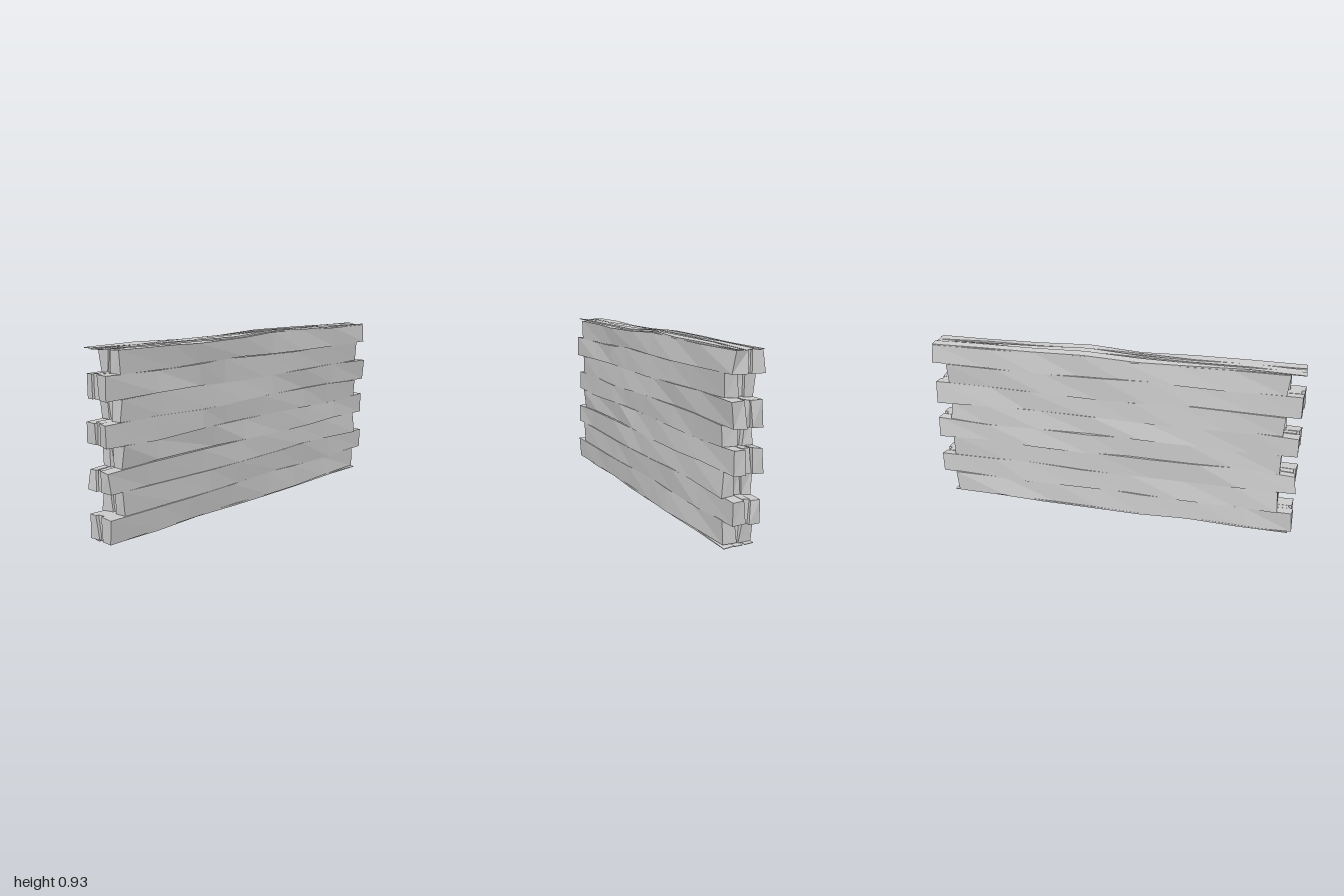
import * as THREE from 'three';

// seeded jitter in -1..1
let seed = 7;
const jit = (a) => {
  seed = (seed * 16807) % 2147483647;
  return (seed / 2147483647 * 2 - 1) * a;
};

// heights of the seams between courses, each with its own gentle waviness
const SEAMS = [0.033, 0.148, 0.262, 0.375, 0.483, 0.588, 0.7, 0.815, 0.922];
const seamY = (i, z) => {
  const wave = 0.005 * Math.sin(z * 5.2 + i * 1.9) + 0.003 * Math.sin(z * 9 + i * 2.7);
  const dip = i === 0 ? -0.012 * Math.exp(-(((z - 0.27) / 0.15) ** 2)) : 0;
  return SEAMS[i] + wave + dip;
};

// closed loft: rings of four corners, counter-clockwise seen from +z, running towards +z
function loft(rings) {
  const pos = [];
  const quad = (a, b, c, d) => pos.push(...a, ...b, ...c, ...a, ...c, ...d);
  for (let k = 0; k < rings.length - 1; k++) {
    for (let j = 0; j < 4; j++) {
      const n = (j + 1) % 4;
      quad(rings[k][j], rings[k][n], rings[k + 1][n], rings[k + 1][j]);
    }
  }
  const first = rings[0], last = rings[rings.length - 1];
  quad(last[0], last[1], last[2], last[3]);
  quad(first[3], first[2], first[1], first[0]);
  const geo = new THREE.BufferGeometry();
  geo.setAttribute('position', new THREE.Float32BufferAttribute(pos, 3));
  geo.computeVertexNormals();
  return geo;
}

// rough-hewn plank of one course between two x positions
function plank(row, xl, xr, z0, z1, rough) {
  const n = 7, rings = [];
  for (let k = 0; k <= n; k++) {
    const end = k === 0 || k === n;
    const z = z0 + (z1 - z0) * k / n + (end ? 0 : jit(0.06));
    const a = end ? rough * 1.25 : rough;
    const lo = seamY(row, z), hi = seamY(row + 1, z);
    const corner = (x, y) => [x + jit(a), y + jit(0.003), z + (end ? jit(0.008) : 0)];
    rings.push([corner(xl, lo), corner(xr, lo), corner(xr, hi), corner(xl, hi)]);
  }
  return loft(rings);
}

export function createModel() {
  const wall = new THREE.Group();
  wall.name = 'plankWall';
  const material = new THREE.MeshStandardMaterial({ color: 0xcccccc, flatShading: true });
  const add = (name, geo) => {
    const mesh = new THREE.Mesh(geo, material);
    mesh.name = name;
    wall.add(mesh);
  };

  // eight courses, alternately shifted so the ends interlock
  for (let row = 0; row < 8; row++) {
    const even = row % 2 === 0;
    const z0 = even ? -0.91 : -0.992, z1 = even ? 0.992 : 0.91;
    add('leftPlank', plank(row, 0.008, 0.074, z0, z1, 0.008));
    add('rightPlank', plank(row, -0.076, -0.022, z0, z1, 0.008));
    // recessed filler between the two leaves
    add('corePlank', plank(row, -0.026, 0.012, z0 + 0.018, z1 - 0.018, 0.004));
  }

  // thin uneven splinters along the top and bottom edges
  for (const [name, y, t, zMin, zMax] of [
    ['topSplinter', 0.924, 0.009, -0.99, 0.99],
    ['bottomSplinter', 0.026, 0.009, -0.93, 0.98],
  ]) {
    for (const [xl, xr] of [[-0.072, -0.03], [-0.022, 0.012], [0.022, 0.068]]) {
      const rings = [], n = 7;
      for (let k = 0; k <= n; k++) {
        const z = zMin + (zMax - zMin) * k / n;
        const seam = name === 'topSplinter' ? 8 : 0;
        const base = y + seamY(seam, z) - SEAMS[seam] + jit(0.003);
        const h = k === 0 || k === n ? 0.003 : t;
        const l = xl + jit(0.008), r = xr + jit(0.008), tilt = jit(0.004);
        rings.push([
          [l, base - tilt, z], [r, base + tilt, z],
          [r, base + tilt + h, z], [l, base - tilt + h, z],
        ]);
      }
      add(name, loft(rings));
    }
  }
  return wall;
}
